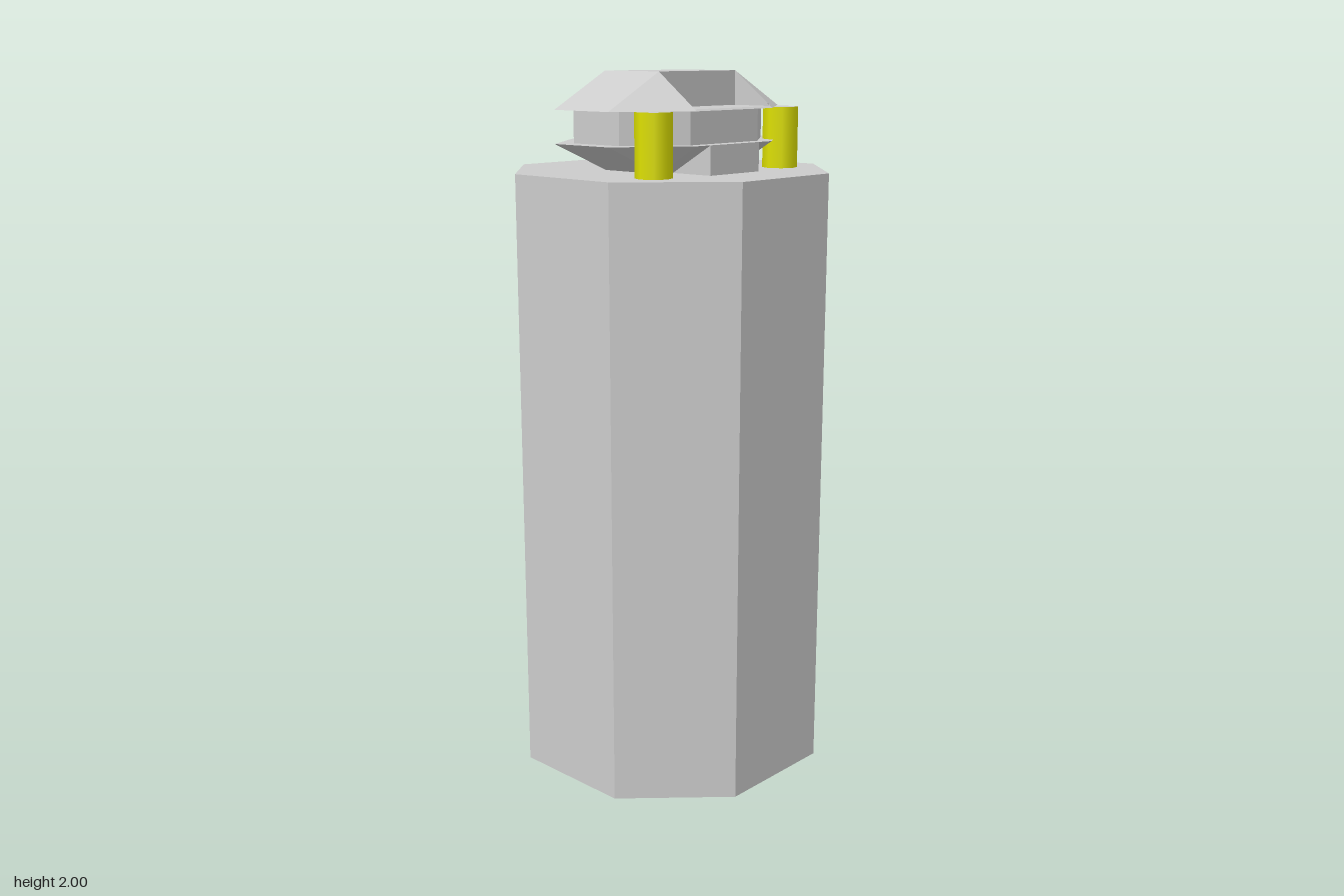
import * as THREE from 'three';

const grey = new THREE.MeshStandardMaterial({ color: 0xcccccc, flatShading: true, side: THREE.DoubleSide });
const yellow = new THREE.MeshStandardMaterial({ color: 0xdde000 });

// Flat-faced geometry from a list of convex polygons (counter-clockwise from outside)
function facets(polys) {
  const pos = [];
  for (const p of polys) {
    for (let i = 1; i < p.length - 1; i++) pos.push(...p[0], ...p[i], ...p[i + 1]);
  }
  const g = new THREE.BufferGeometry();
  g.setAttribute('position', new THREE.Float32BufferAttribute(pos, 3));
  g.computeVertexNormals();
  return g;
}

// Octagon with corners (a, Z) and (X, c) mirrored to all quadrants
function octagon(a, Z, X, c, y) {
  return [[a, Z], [X, c], [X, -c], [a, -Z], [-a, -Z], [-X, -c], [-X, c], [-a, Z]].map(([x, z]) => [x, y, z]);
}

// Straight eight-sided prism, with an optional bottom
function prism(a, Z, X, c, y0, y1, bottom) {
  const lo = octagon(a, Z, X, c, y0), hi = octagon(a, Z, X, c, y1);
  const polys = lo.map((p, i) => [p, lo[(i + 1) % 8], hi[(i + 1) % 8], hi[i]]);
  polys.push(hi);
  if (bottom) polys.push([...lo].reverse());
  return facets(polys);
}

// Chamfered cap from a wide octagon at y = b to a small rectangle at y = t.
// With recessed = true the long slopes become cut-out windows.
function chamferedCap(b, t, recessed) {
  const a = 0.155, Z = 0.24, X = 0.345, c = 0.103;
  const polys = [];
  const add = (poly, sx, sz) => {
    const p = poly.map(([x, y, z]) => [x * sx, y, z * sz]);
    polys.push(sx * sz * (t - b) < 0 ? p.reverse() : p);
  };
  const strip = (y0, z0, y1, z1) => [[-a, y0, z0], [a, y0, z0], [a, y1, z1], [-a, y1, z1]];
  for (const s of [1, -1]) {
    add([[X, b, c], [X, b, -c], [a, t, -c], [a, t, c]], s, 1);
    for (const sx of [1, -1]) add([[a, b, Z], [X, b, c], [a, t, c]], sx, s);
    if (recessed) {
      const f = b + 0.005, zl = 0.233;
      add(strip(b, Z, f, zl), 1, s);
      add(strip(f, zl, f, c), 1, s);
      add(strip(f, c, t, c), 1, s);
      for (const sx of [1, -1]) add([[a, f, zl], [a, t, c], [a, f, c]], sx, s);
    } else {
      add(strip(b, Z, t, c), 1, s);
    }
  }
  add(strip(t, c, t, -c), 1, 1);
  add(octagon(a, Z, X, c, b).reverse(), 1, 1);
  return facets(polys);
}

export function createModel() {
  const model = new THREE.Group();
  const add = (name, geometry, material = grey) => {
    const mesh = new THREE.Mesh(geometry, material);
    mesh.name = name;
    model.add(mesh);
    return mesh;
  };

  // Hollow column, open at the bottom
  add('column', prism(0.18, 0.422, 0.422, 0.18, 0, 1.73, false));

  // Head: flared base, waist and lid with two recesses
  add('headBase', chamferedCap(1.81, 1.73, false));
  add('headWaist', prism(0.138, 0.202, 0.29, 0.087, 1.81, 1.9, true));
  add('headLid', chamferedCap(1.9, 2, true));

  // Block under the front of the head
  add('frontBlock', new THREE.BoxGeometry(0.2, 0.08, 0.24)).position.set(0, 1.77, 0.12);

  // Yellow posts with grey ends
  for (const [name, s] of [['leftPost', 1], ['rightPost', -1]]) {
    add(name, new THREE.CylinderGeometry(0.05, 0.05, 0.17, 8), [yellow, grey, grey])
      .position.set(s * 0.26, 1.815, 0.184);
  }
  return model;
}
